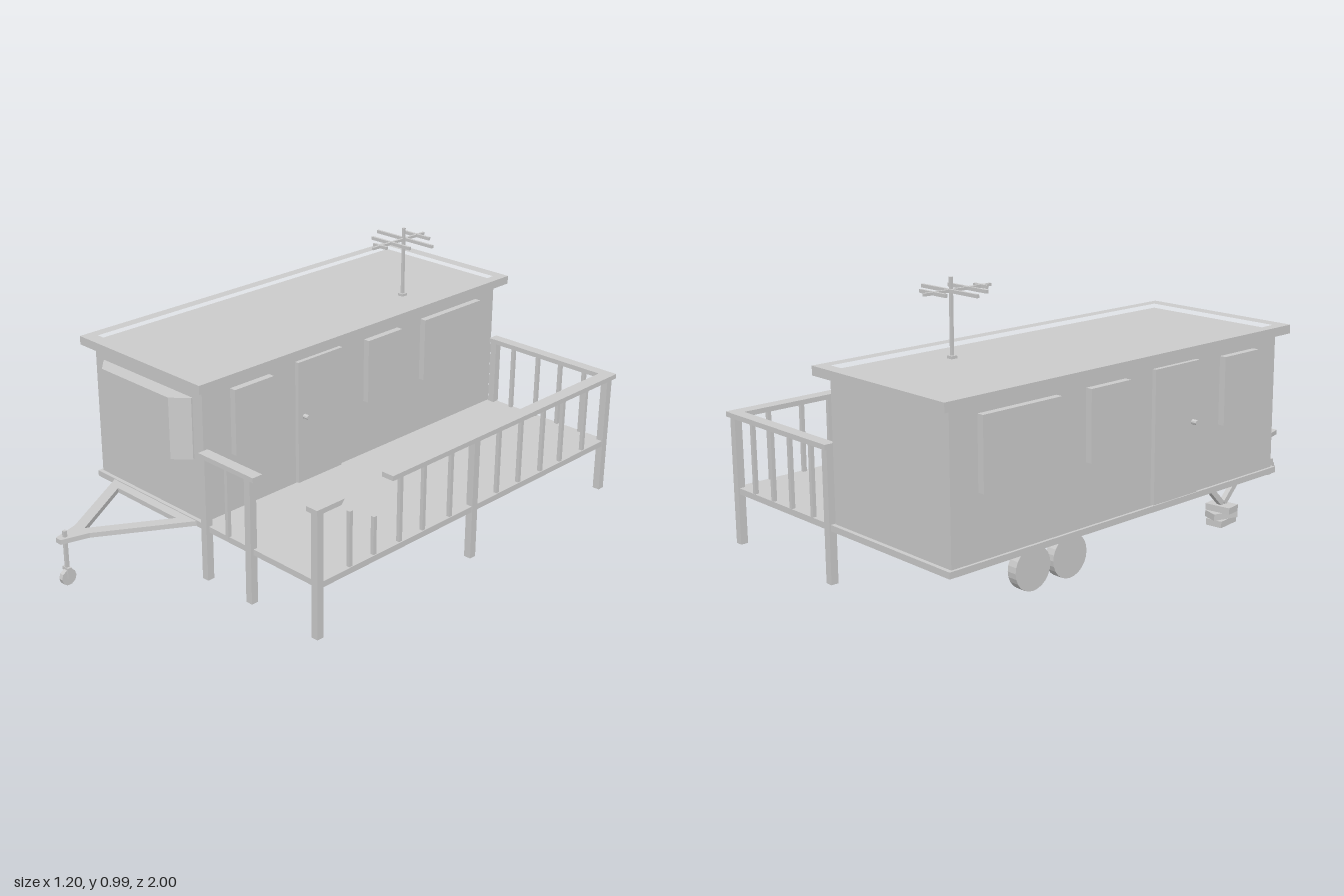
import * as THREE from 'three';

const grey = new THREE.MeshStandardMaterial({ color: 0xcccccc, flatShading: true });

export function createModel() {
  const root = new THREE.Group();
  root.name = 'caravanWithDeck';

  const add = (name, geometry, parent = root) => {
    const mesh = new THREE.Mesh(geometry, grey);
    mesh.name = name;
    parent.add(mesh);
    return mesh;
  };
  // Box given by its limits on each axis
  const box = (name, [x0, x1], [y0, y1], [z0, z1], parent = root) => {
    const mesh = add(name, new THREE.BoxGeometry(x1 - x0, y1 - y0, z1 - z0), parent);
    mesh.position.set((x0 + x1) / 2, (y0 + y1) / 2, (z0 + z1) / 2);
    return mesh;
  };
  // Square bar between two points
  const bar = (name, from, to, width, parent = root) => {
    const a = new THREE.Vector3(...from), b = new THREE.Vector3(...to);
    const mesh = add(name, new THREE.BoxGeometry(width, width, a.distanceTo(b)), parent);
    mesh.position.copy(a).lerp(b, 0.5);
    mesh.lookAt(b);
    return mesh;
  };
  // Flat plan outline of [x, z] points, raised from y0 to y1
  const plan = (name, outline, hole, y0, y1, parent = root) => {
    const toPoints = (list) => list.map(([x, z]) => new THREE.Vector2(x, -z));
    const shape = new THREE.Shape(toPoints(outline));
    if (hole) shape.holes.push(new THREE.Path(toPoints(hole)));
    const geometry = new THREE.ExtrudeGeometry(shape, { depth: y1 - y0, bevelEnabled: false });
    geometry.rotateX(-Math.PI / 2);
    const mesh = add(name, geometry, parent);
    mesh.position.y = y0;
    return mesh;
  };
  const rect = (x0, x1, z0, z1) => [[x0, z0], [x1, z0], [x1, z1], [x0, z1]];
  const group = (name) => {
    const g = new THREE.Group();
    g.name = name;
    root.add(g);
    return g;
  };

  // Floor and cabin
  box('floor', [-0.575, 0.585], [0.185, 0.207], [-0.97, 0.585]);
  box('cabin', [-0.565, 0.015], [0.207, 0.71], [-0.955, 0.57]);

  // Flat roof with a raised rim
  plan('roofRim', rect(-0.6, 0.05, -1, 0.61), rect(-0.56, 0.01, -0.955, 0.56), 0.705, 0.737);
  box('roofPanel', [-0.565, 0.015], [0.705, 0.72], [-0.96, 0.565]);

  // Bay window at the front
  plan('bayWindow', [[-0.515, 0.565], [-0.515, 0.575], [-0.455, 0.628], [-0.092, 0.628],
    [-0.035, 0.575], [-0.035, 0.565]], null, 0.43, 0.658);

  // Windows, door and handle, the same on both long sides
  for (const side of [-1, 1]) {
    const sideGroup = group(side > 0 ? 'leftSideOpenings' : 'rightSideOpenings');
    const span = (a, b) => {
      const p = -0.275 + side * a, q = -0.275 + side * b;
      return [Math.min(p, q), Math.max(p, q)];
    };
    for (const z of [[0.265, 0.445], [-0.39, -0.21], [-0.845, -0.52]]) {
      box('window', span(0.28, 0.315), [0.425, 0.67], z, sideGroup);
    }
    box('door', span(0.28, 0.306), [0.212, 0.68], [-0.08, 0.14], sideGroup);
    const handle = add('doorHandle', new THREE.CylinderGeometry(0.009, 0.009, 0.025, 10), sideGroup);
    handle.rotation.z = Math.PI / 2;
    handle.position.set(-0.275 + side * 0.315, 0.468, 0.11);
  }

  // Road wheels, two on each side
  const wheels = group('wheels');
  for (const x of [-0.497, -0.053]) {
    for (const z of [-0.41, -0.575]) {
      const wheel = add('wheel', new THREE.CylinderGeometry(0.076, 0.076, 0.037, 24), wheels);
      wheel.rotation.z = Math.PI / 2;
      wheel.position.set(x, 0.1, z);
    }
  }

  // Towing frame with jockey wheel
  const hitch = group('hitch');
  plan('towFrame', [[-0.478, 0.585], [-0.29, 0.9], [-0.262, 1], [-0.236, 1], [-0.208, 0.9], [-0.018, 0.585]],
    [[-0.412, 0.62], [-0.249, 0.89], [-0.086, 0.62]], 0.186, 0.204, hitch);
  box('jockeyPost', [-0.252, -0.24], [0.075, 0.227], [0.968, 0.98], hitch);
  for (const x of [-0.262, -0.237]) {
    box('jockeyFork', [x, x + 0.006], [0.048, 0.086], [0.966, 0.982], hitch);
  }
  box('jockeyForkTop', [-0.262, -0.231], [0.08, 0.088], [0.966, 0.982], hitch);
  const jockey = add('jockeyWheel', new THREE.CylinderGeometry(0.03, 0.03, 0.017, 10), hitch);
  jockey.rotation.z = Math.PI / 2;
  jockey.position.set(-0.246, 0.05, 0.974);

  // Corner support on a stack of turned bricks
  const support = group('cornerSupport');
  bar('supportLeg', [-0.502, 0.188, 0.468], [-0.502, 0.098, 0.38], 0.02, support);
  bar('supportLeg', [-0.502, 0.188, 0.282], [-0.502, 0.098, 0.37], 0.02, support);
  const bricks = [[0.034, 0.065, 0.1, 0.12], [0.058, 0.06, 0.1, -0.3], [0.083, 0.1, 0.06, 0.15]];
  for (const [y, w, d, turn] of bricks) {
    const brick = add('brick', new THREE.BoxGeometry(w, 0.024, d), support);
    brick.position.set(-0.502, y, 0.374);
    brick.rotation.y = turn;
  }

  // Deck posts run from the ground to the handrail
  const deck = group('deckRailing');
  const posts = [[0.035, 0.583], [0.26, 0.583], [0.574, 0.583],
    [0.574, -0.183], [0.574, -0.962], [0.035, -0.962]];
  for (const [x, z] of posts) {
    box('post', [x - 0.014, x + 0.014], [0, 0.465], [z - 0.014, z + 0.014], deck);
  }

  // Balusters: full ones, then two broken stubs beside the gap
  const baluster = (x, z, top = 0.465) =>
    box('baluster', [x - 0.007, x + 0.007], [0.2, top], [z - 0.007, z + 0.007], deck);
  for (const z of [0.197, 0.08, -0.06, -0.318, -0.442, -0.572, -0.69, -0.83]) baluster(0.574, z);
  for (const x of [0.128, 0.25, 0.358, 0.47]) baluster(x, -0.962);
  baluster(0.147, 0.583);
  baluster(0.574, 0.437, 0.41);
  baluster(0.574, 0.323, 0.348);

  // Handrails, with a break on the outer side
  const railY = [0.462, 0.48];
  box('frontRail', [0.018, 0.29], railY, [0.555, 0.597], deck);
  box('backRail', [0.018, 0.55], railY, [-0.985, -0.942], deck);
  box('sideRail', [0.55, 0.6], railY, [-0.985, 0.262], deck);
  const stub = box('brokenRail', [0.55, 0.6], railY, [0.487, 0.61], deck);
  const corners = stub.geometry.attributes.position;
  for (let i = 0; i < corners.count; i++) {
    // Slanted break
    if (corners.getZ(i) < 0 && corners.getY(i) < 0) corners.setZ(i, corners.getZ(i) + 0.015);
  }
  stub.geometry.computeVertexNormals();

  // Roof aerial
  const aerial = group('aerial');
  box('aerialFoot', [-0.132, -0.108], [0.718, 0.73], [-0.577, -0.553], aerial);
  box('mast', [-0.125, -0.115], [0.718, 0.99], [-0.57, -0.56], aerial);
  box('boom', [-0.126, -0.116], [0.94, 0.95], [-0.68, -0.395], aerial);
  for (const [z, half] of [[-0.64, 0.065], [-0.572, 0.14], [-0.495, 0.097], [-0.437, 0.033]]) {
    box('aerialElement', [-0.121 - half, -0.121 + half], [0.939, 0.951], [z - 0.005, z + 0.005], aerial);
  }

  return root;
}
